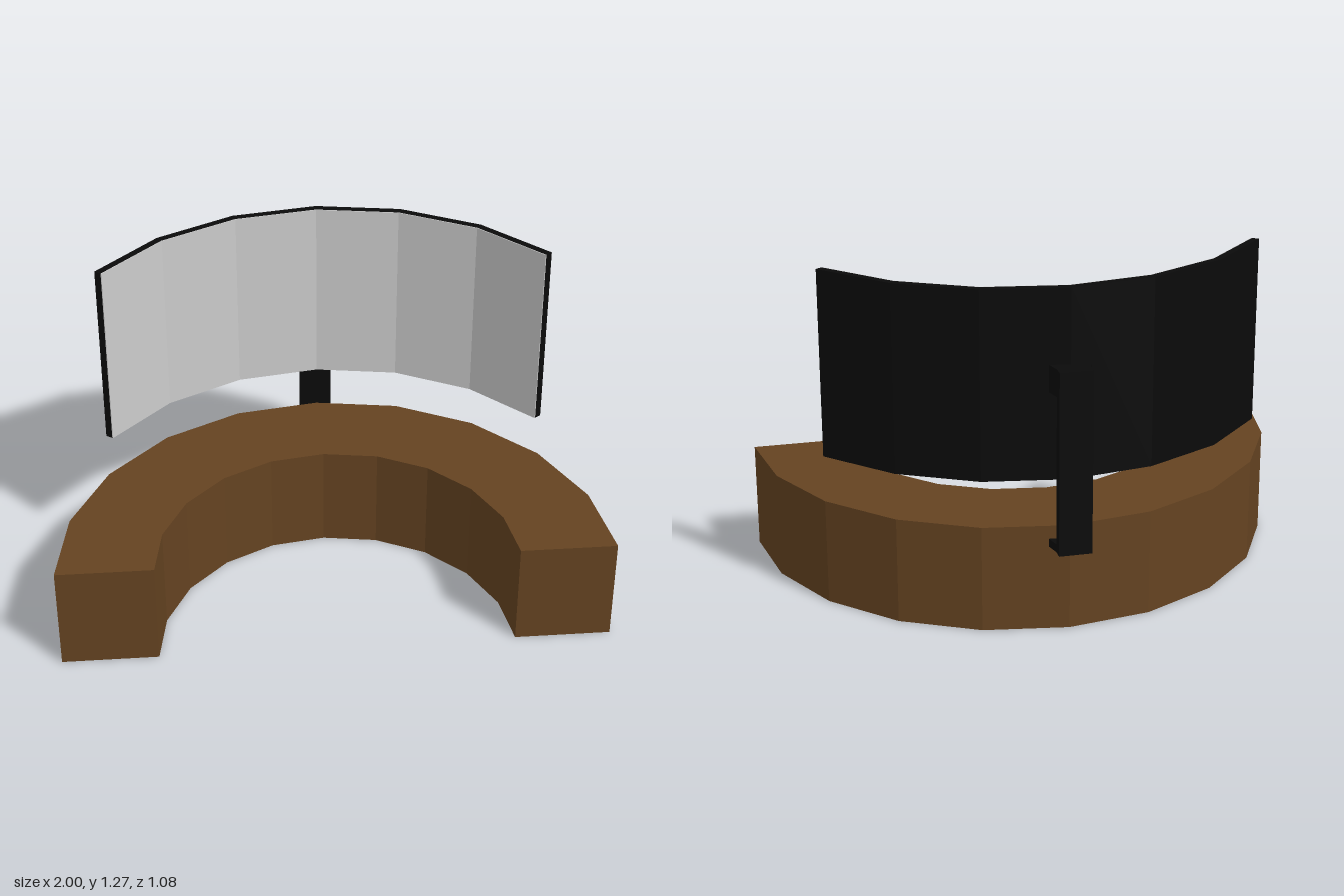
import * as THREE from 'three';

const CENTRE_Z = 0.54; // centre of the common arc
const STEP = Math.PI / 10;

const material = (color) => new THREE.MeshStandardMaterial({ color, flatShading: true });

// Upright prism from a plan outline of [x, z] points
function prism(name, points, y0, y1, mat) {
  const shape = new THREE.Shape(points.map(([x, z]) => new THREE.Vector2(x, -z)));
  const geometry = new THREE.ExtrudeGeometry(shape, { depth: y1 - y0, bevelEnabled: false });
  geometry.rotateX(-Math.PI / 2).translate(0, y0, 0);
  const mesh = new THREE.Mesh(geometry, mat);
  mesh.name = name;
  return mesh;
}

// Faceted ring segment, reaching the given number of facets either side of the back
function arcOutline(inner, outer, facets) {
  const at = (r, i) => [r * Math.sin(i * STEP), CENTRE_Z - r * Math.cos(i * STEP)];
  const points = [];
  for (let i = -facets; i <= facets; i++) points.push(at(outer, i));
  for (let i = facets; i >= -facets; i--) points.push(at(inner, i));
  return points;
}

export function createModel() {
  const group = new THREE.Group();
  const wood = material(0x654321);
  const black = material(0x0a0a0a);
  const grey = material(0xcccccc);

  // Half-round desk
  group.add(prism('desk', arcOutline(0.65, 1, 5), 0, 0.4, wood));

  // Curved screen: dark casing with a thin display on its inner side
  group.add(prism('screenCasing', arcOutline(0.973, 1, 3), 0.575, 1.275, black));
  group.add(prism('display', arcOutline(0.97, 0.973, 3), 0.575, 1.275, grey));

  // Post behind the desk
  const post = new THREE.Mesh(new THREE.BoxGeometry(0.12, 0.68, 0.04), black);
  post.name = 'post';
  post.position.set(0, 0.66, -0.52);
  group.add(post);

  // Flared brackets that meet the curved backs of desk and screen
  const bracket = [[-0.06, -0.5], [0.06, -0.5], [0.075, -0.446], [0, -0.458], [-0.075, -0.446]];
  group.add(prism('deskBracket', bracket, 0.32, 0.35, black));
  group.add(prism('screenBracket', bracket, 0.9, 1, black));

  return group;
}
